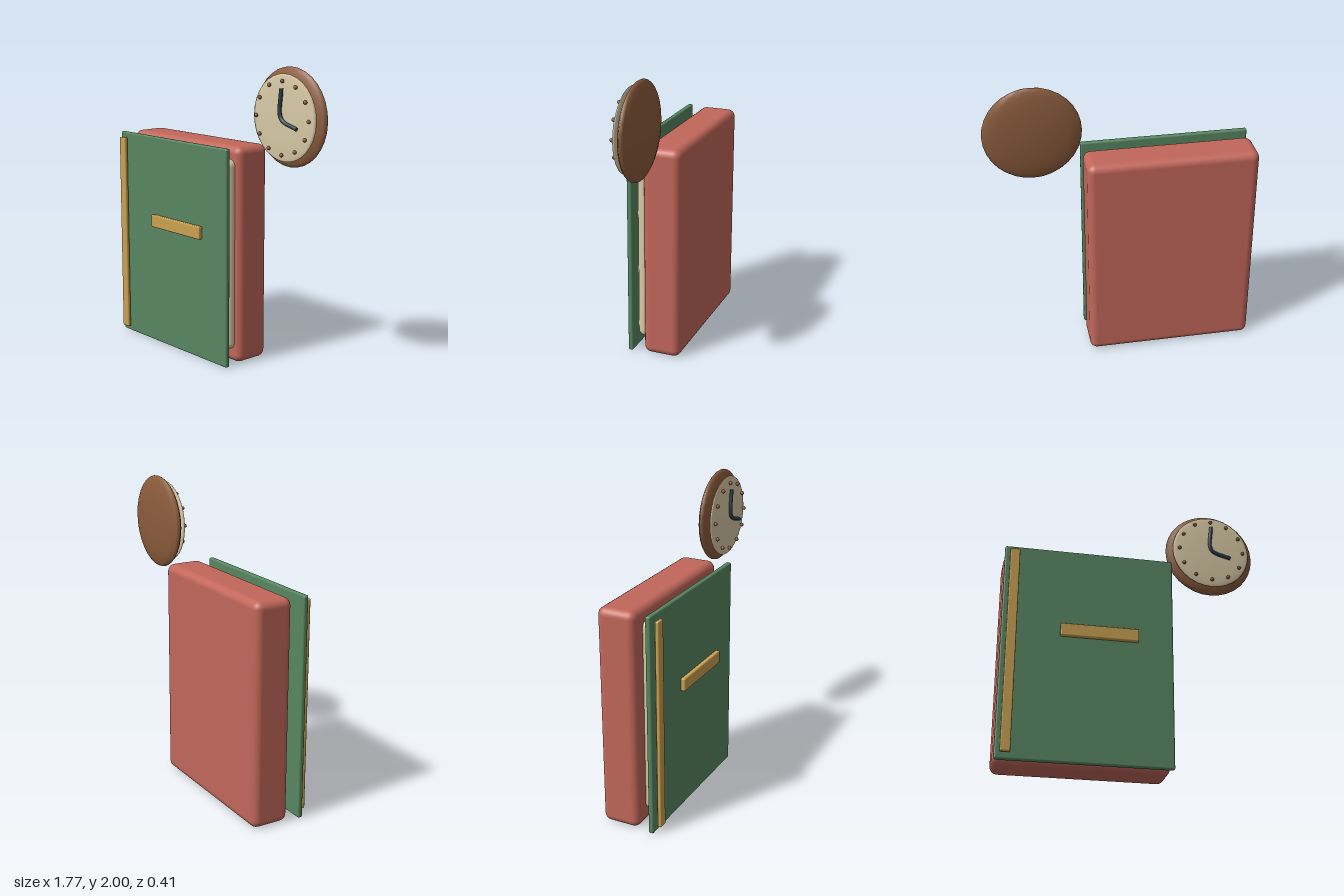
import * as THREE from 'three';
import { RoundedBoxGeometry } from 'three/addons/geometries/RoundedBoxGeometry.js';

const material = (name, color, side = THREE.FrontSide) => {
  const m = new THREE.MeshStandardMaterial({ color, side });
  m.name = name;
  return m;
};

export function createModel() {
  const red = material('brick red', 0xc2675a);
  const green = material('book green', 0x578661);
  const gold = material('gold', 0xcaa150);
  const cream = material('cream', 0xd8caa6);
  const brown = material('wood brown', 0x8c5c3c);
  const dark = material('dark slate', 0x2a3f48, THREE.DoubleSide);

  const model = new THREE.Group();
  model.name = 'bookAndClock';

  const add = (parent, name, geometry, mat, x = 0, y = 0, z = 0) => {
    const mesh = new THREE.Mesh(geometry, mat);
    mesh.name = name;
    mesh.position.set(x, y, z);
    parent.add(mesh);
    return mesh;
  };

  // Rounded box given by its extents on each axis
  const slab = (parent, name, mat, [x0, x1], [y0, y1], [z0, z1], radius) =>
    add(parent, name, new RoundedBoxGeometry(x1 - x0, y1 - y0, z1 - z0, 3, radius), mat,
      (x0 + x1) / 2, (y0 + y1) / 2, (z0 + z1) / 2);

  // Book: thick body, page block, front cover and gold trim
  const book = new THREE.Group();
  book.name = 'book';
  model.add(book);
  slab(book, 'bookBody', red, [-0.89, 0.24], [0, 1.47], [-0.205, 0.055], 0.05);
  slab(book, 'pages', cream, [-0.78, 0.20], [0.095, 1.385], [-0.06, 0.115], 0.045);
  slab(book, 'frontCover', green, [-0.89, 0.24], [0, 1.47], [0.13, 0.165], 0.012);
  slab(book, 'spineStripe', gold, [-0.857, -0.793], [0.04, 1.435], [0.178, 0.204], 0.008);
  slab(book, 'titlePlate', gold, [-0.51, 0.005], [0.84, 0.927], [0.166, 0.198], 0.008);

  // Clock: flattened case and face, with hour markers and one bent hand
  const clock = new THREE.Group();
  clock.name = 'clock';
  clock.position.set(0.57, 1.685, 0);
  model.add(clock);

  const ball = new THREE.SphereGeometry(1, 16, 16);
  add(clock, 'clockCase', ball, brown, 0, 0, -0.08).scale.set(0.315, 0.315, 0.05);
  add(clock, 'clockFace', ball, cream, 0, 0, -0.024).scale.set(0.275, 0.275, 0.014);

  const dot = new THREE.SphereGeometry(0.013, 10, 8);
  for (let i = 0; i < 12; i++) {
    const a = (i / 12) * Math.PI * 2;
    add(clock, 'hourMarker', dot, brown, Math.sin(a) * 0.23, Math.cos(a) * 0.23, 0);
  }

  const path = new THREE.CatmullRomCurve3([
    new THREE.Vector3(0, 0.185, 0.008),
    new THREE.Vector3(0, 0, 0.008),
    new THREE.Vector3(0.135, -0.055, 0.008),
  ]);
  add(clock, 'clockHands', new THREE.TubeGeometry(path, 20, 0.013, 8), dark);

  // Flat caps on both ends of the hands
  for (const t of [0, 1]) {
    const cap = add(clock, 'handTip', new THREE.CircleGeometry(0.013, 8), dark);
    cap.position.copy(path.getPoint(t));
    cap.quaternion.setFromUnitVectors(new THREE.Vector3(0, 0, 1), path.getTangent(t));
  }

  return model;
}
